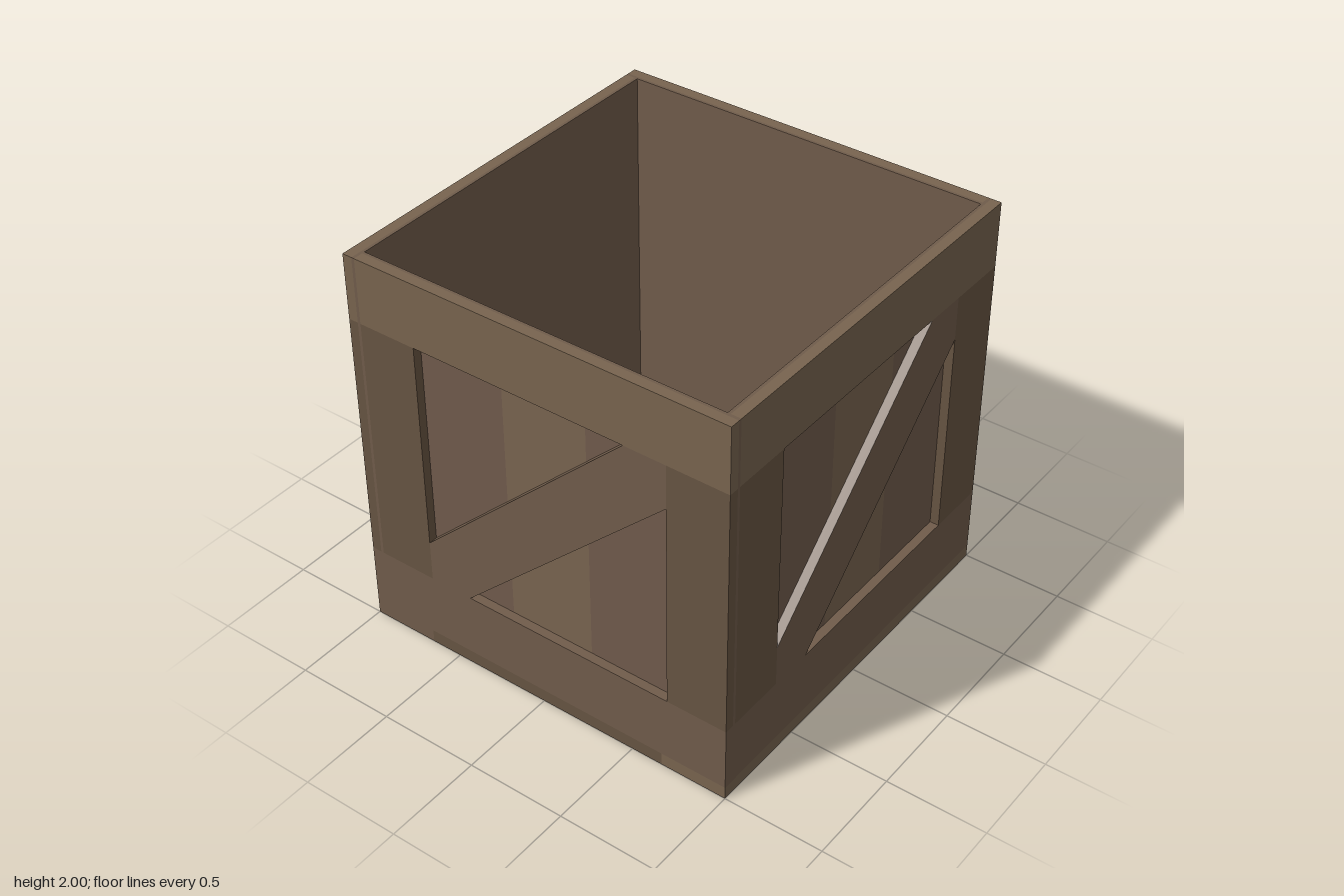
import * as THREE from 'three';

const T = 0.065;        // full wall thickness
const RECESS = 0.045;   // depth of the planks behind the frame boards

const wood = (color) => new THREE.MeshStandardMaterial({ color, roughness: 0.9, flatShading: true });
const MAT = {
  light: wood(0x78644f),
  mid: wood(0x705c4b),
  dark: wood(0x675442),
  plankMid: wood(0x796450),
  plankSide: wood(0x705b4c),
};

// Board between two corners, from depth zBack to zFront
function board(name, mat, x0, y0, x1, y1, zBack, zFront) {
  const mesh = new THREE.Mesh(new THREE.BoxGeometry(x1 - x0, y1 - y0, zFront - zBack), mat);
  mesh.position.set((x0 + x1) / 2, (y0 + y1) / 2, (zBack + zFront) / 2);
  mesh.name = name;
  return mesh;
}

// Diagonal brace whose ends are cut to fit the corners of the opening
function brace(h, lowX, lowY, highX, highY, depth) {
  const shape = new THREE.Shape([
    [h.x0, h.y0], [h.x0 + lowX, h.y0], [h.x1, h.y1 - highY],
    [h.x1, h.y1], [h.x1 - highX, h.y1], [h.x0, h.y0 + lowY],
  ].map(([x, y]) => new THREE.Vector2(x, y)));
  const mesh = new THREE.Mesh(new THREE.ExtrudeGeometry(shape, { depth, bevelEnabled: false }), MAT.mid);
  mesh.position.z = -depth;
  mesh.name = 'diagonalBrace';
  return mesh;
}

// One framed side: outer rectangle o, opening h, outer face at z = 0
function framedPanel(name, o, h, depth, lowX, lowY, highX, highY) {
  const g = new THREE.Group();
  g.name = name;
  g.add(
    board('topRail', MAT.light, o.x0, h.y1, o.x1, o.y1, -depth, 0),
    board('bottomRail', MAT.mid, o.x0, o.y0, o.x1, h.y0, -depth, 0),
    board('leftStile', MAT.dark, o.x0, h.y0, h.x0, h.y1, -depth, 0),
    board('rightStile', MAT.dark, h.x1, h.y0, o.x1, h.y1, -depth, 0),
    brace(h, lowX, lowY, highX, highY, RECESS),
  );
  // three upright planks behind the brace
  const w = (h.x1 - h.x0) / 3;
  for (let i = 0; i < 3; i++) {
    const x = h.x0 + i * w;
    g.add(board('plank', i === 1 ? MAT.plankMid : MAT.plankSide, x, h.y0, x + w, h.y1, -depth, -RECESS));
  }
  return g;
}

export function createModel() {
  const crate = new THREE.Group();
  crate.name = 'openCrate';

  // Four walls, each overlapping the end of the next one
  const outer = { x0: -1 + T, y0: T, x1: 1, y1: 2 };
  const opening = { x0: -0.635, y0: 0.395, x1: 0.69, y1: 1.67 };
  ['frontWall', 'leftWall', 'backWall', 'rightWall'].forEach((name, i) => {
    const wall = framedPanel(name, outer, opening, RECESS + 0.005, 0.225, 0.21, 0.215, 0.22);
    // smooth inner lining
    wall.add(board('lining', MAT.mid, outer.x0, outer.y0, outer.x1, outer.y1, -T, -RECESS - 0.005));
    wall.position.z = 1;
    const turn = new THREE.Group();
    turn.name = name + 'Side';
    turn.rotation.y = i * Math.PI / 2;
    turn.add(wall);
    crate.add(turn);
  });

  // Floor, framed and braced on its underside
  const floor = framedPanel('floor', { x0: -1, y0: -1, x1: 1, y1: 1 },
    { x0: -0.685, y0: -0.66, x1: 0.685, y1: 0.66 }, T, 0.22, 0.21, 0.22, 0.21);
  floor.rotation.x = Math.PI / 2;
  crate.add(floor);

  return crate;
}
